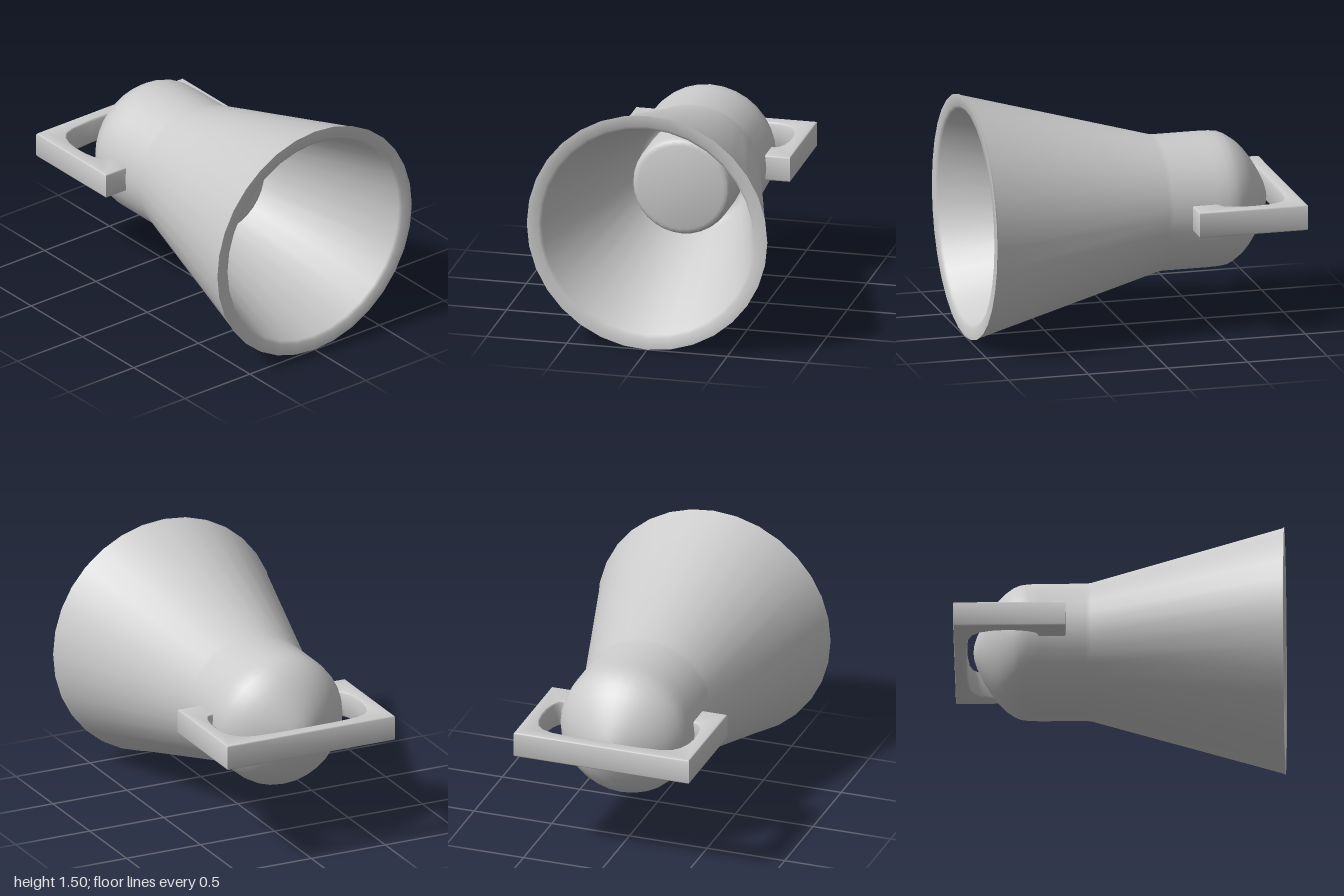
import * as THREE from 'three';
import { toCreasedNormals } from 'three/addons/utils/BufferGeometryUtils.js';

const AXIS_Y = 0.755;

// Surface turned around the z axis from [radius, z] points
function turned(name, profile, material) {
  const points = profile.map(([r, z]) => new THREE.Vector2(r, z));
  const geometry = new THREE.LatheGeometry(points, 32).rotateX(Math.PI / 2);
  const mesh = new THREE.Mesh(toCreasedNormals(geometry, 0.7), material);
  mesh.name = name;
  return mesh;
}

export function createModel() {
  const material = new THREE.MeshStandardMaterial({ color: 0xcccccc });
  const model = new THREE.Group();
  model.name = 'horn';

  // Domed back, straight neck, flared horn, rim and hollow inside
  model.add(turned('hornBody', [
    [0, -0.885], [0.045, -0.88], [0.1, -0.862], [0.18, -0.822], [0.25, -0.78],
    [0.31, -0.735], [0.355, -0.69], [0.39, -0.64], [0.407, -0.6], [0.414, -0.55],
    [0.416, -0.48], [0.416, -0.2], [0.42, -0.17],
    [0.742, 0.985], [0.75, 1], [0.68, 1], [0.66, 0.985],
    [0.365, -0.12], [0.34, -0.16], [0.3, -0.18], [0, -0.18],
  ], material));

  // Round driver plug standing inside the throat
  model.add(turned('throatPlug', [
    [0.31, -0.2], [0.31, 0.09], [0.304, 0.12], [0.29, 0.142], [0.265, 0.15], [0, 0.15],
  ], material));

  // U-shaped handle: square outside, rounded inside, arms ending in the neck
  const bevel = 0.01;
  const outerX = 0.565 - bevel, backZ = 1 - bevel, frontZ = 0.32 + bevel;
  const inner = [
    [0.37, 0.48], [0.43, 0.48], [0.458, 0.5], [0.482, 0.55], [0.495, 0.62],
    [0.498, 0.7], [0.488, 0.78], [0.462, 0.85], [0.42, 0.895], [0.35, 0.921], [0.2, 0.933],
  ];
  const mirrored = inner.map(([x, z]) => [-x, z]).reverse();
  const outline = [
    [-outerX, frontZ], [-0.37, frontZ], ...mirrored.slice().reverse(),
    ...inner.slice().reverse(), [0.37, frontZ], [outerX, frontZ],
    [outerX, backZ], [-outerX, backZ],
  ];
  const shape = new THREE.Shape(outline.map(([x, z]) => new THREE.Vector2(x, z)));
  const height = 0.16 - 2 * bevel;
  const handleGeometry = new THREE.ExtrudeGeometry(shape, {
    depth: height, bevelThickness: bevel, bevelSize: bevel, bevelSegments: 2,
  }).translate(0, 0, -height / 2).rotateX(-Math.PI / 2);
  const handle = new THREE.Mesh(toCreasedNormals(handleGeometry, 0.8), material);
  handle.name = 'handle';
  model.add(handle);

  // Mirrored order of the left arm keeps the outline running neck to back
  for (const part of model.children) part.position.y = AXIS_Y;
  return model;
}
